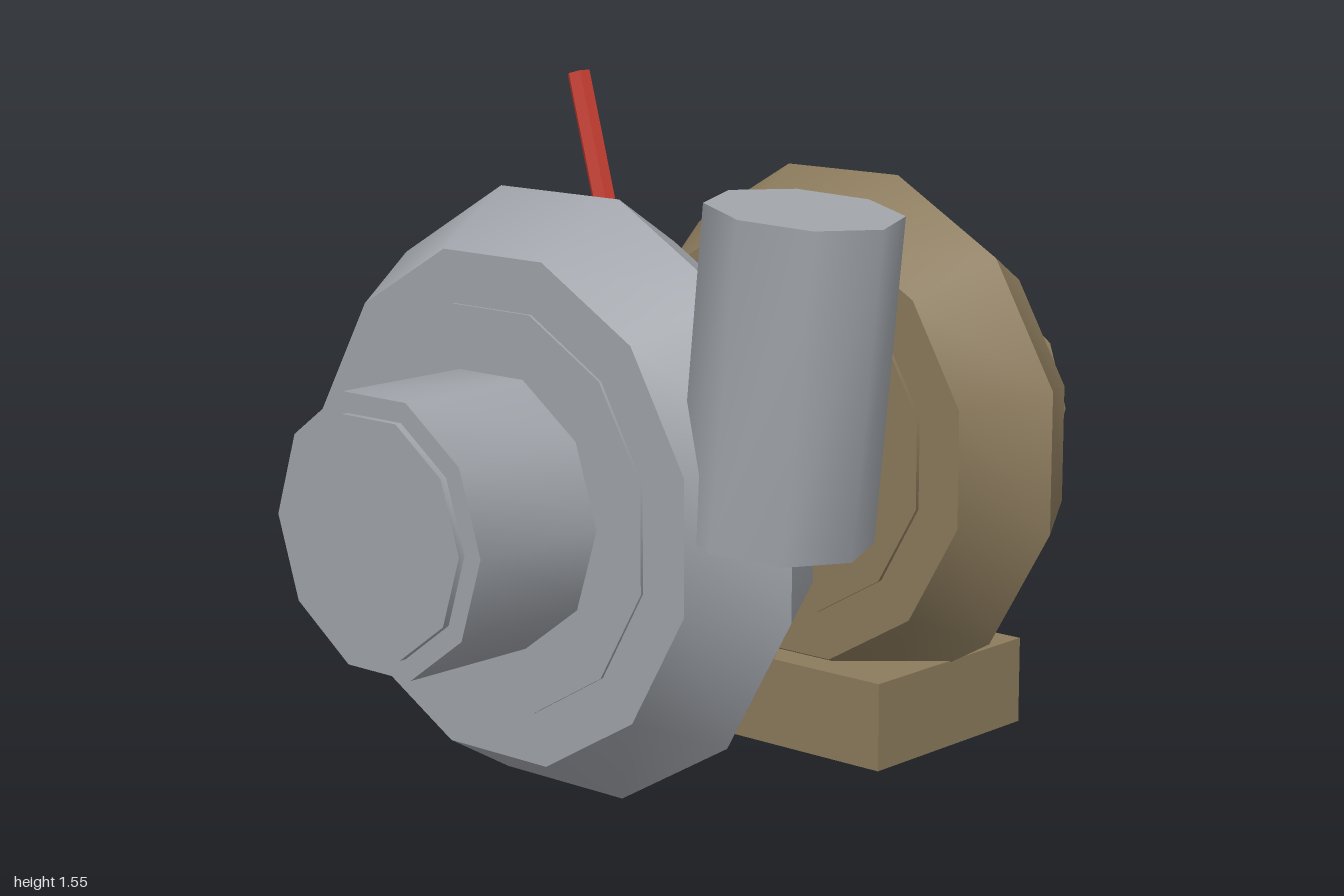
import * as THREE from 'three';
import { toCreasedNormals } from 'three/addons/utils/BufferGeometryUtils.js';

const material = (name, color) => {
  const m = new THREE.MeshStandardMaterial({ color });
  m.name = name;
  return m;
};

const AXIS_Y = 0.693, AXIS_Z = 0.016; // shaft line, running along x
const CREASE = 0.9;

export function createModel() {
  const silver = material('silver', 0xa0a4aa);
  const bronze = material('bronze', 0x8b7a5c);
  const slate = material('slate', 0x5a5e6a);
  const red = material('red', 0xc23d31);
  const model = new THREE.Group();
  model.name = 'turbocharger';

  const add = (parent, name, geometry, mat) => {
    const mesh = new THREE.Mesh(toCreasedNormals(geometry, CREASE), mat);
    mesh.name = name;
    parent.add(mesh);
    return mesh;
  };

  // Cylinder on the shaft line between two x positions
  const shaftCylinder = (parent, name, r, x0, x1, sides, mat, turn = 0) => {
    const g = new THREE.CylinderGeometry(r, r, x1 - x0, sides, 1, false, turn);
    g.rotateZ(Math.PI / 2);
    g.translate((x0 + x1) / 2, AXIS_Y, AXIS_Z);
    return add(parent, name, g, mat);
  };

  // Straight rod between two points, with one corner kept horizontal
  const rod = (name, r, sides, from, to, mat) => {
    const a = new THREE.Vector3(...from), b = new THREE.Vector3(...to);
    const dir = b.clone().sub(a), length = dir.length();
    dir.normalize();
    const side = new THREE.Vector3(0, 1, 0).cross(dir).normalize();
    const basis = new THREE.Matrix4().makeBasis(dir.clone().cross(side), dir, side);
    const g = new THREE.CylinderGeometry(r, r, length, sides);
    g.applyMatrix4(basis);
    const mid = a.add(b).multiplyScalar(0.5);
    g.translate(mid.x, mid.y, mid.z);
    return add(model, name, g, mat);
  };

  // Ring housing with a core disc closing its middle
  const housing = (name, x, ringRadius, tube, mat) => {
    const group = new THREE.Group();
    group.name = name;
    model.add(group);
    const ring = new THREE.TorusGeometry(ringRadius, tube, 6, 12);
    ring.rotateZ(Math.PI / 12);
    ring.rotateY(Math.PI / 2);
    ring.translate(x, AXIS_Y, AXIS_Z);
    add(group, name + 'Ring', ring, mat);
    shaftCylinder(group, name + 'Core', ringRadius, x - 0.202, x + 0.202, 12, mat, Math.PI / 12);
    return group;
  };

  // Compressor side
  const compressor = housing('compressor', -0.462, 0.428, 0.226, silver);
  shaftCylinder(compressor, 'inletPipe', 0.294, -0.985, -0.6, 10, silver);
  shaftCylinder(compressor, 'inletLip', 0.25, -1, -0.98, 10, silver);
  const outlet = add(compressor, 'compressorOutlet', new THREE.CylinderGeometry(0.196, 0.196, 0.66, 8), silver);
  outlet.position.set(-0.462, 1.021, 0.64);
  outlet.rotation.x = 0.106;

  // Centre bearing housing
  shaftCylinder(model, 'bearingHousing', 0.26, -0.235, 0.225, 8, slate, Math.PI / 8);

  // Turbine side
  const turbine = housing('turbine', 0.452, 0.394, 0.222, bronze);
  shaftCylinder(turbine, 'exhaustPipe', 0.257, 0.6, 0.975, 10, bronze);
  const base = add(model, 'mountingFoot', new THREE.BoxGeometry(0.52, 0.2, 0.655), bronze);
  base.position.set(0.452, 0.1, 0.018);

  // Wastegate arm, canister and cap
  rod('wastegateArm', 0.118, 6, [0.47, 0.233, -0.05], [0.725, 0.233, -0.55], bronze);
  const canister = add(model, 'wastegateCanister', new THREE.CylinderGeometry(0.153, 0.153, 0.35, 10), bronze);
  canister.position.set(0.78, 0.275, -0.64);
  const cap = add(model, 'wastegateCap', new THREE.CylinderGeometry(0.228, 0.228, 0.225, 10), red);
  cap.position.set(0.78, 0.543, -0.641);

  // Oil feed line
  rod('oilLine', 0.026, 6, [-0.232, 0.95, 0.012], [-0.202, 1.54, -0.178], red);

  return model;
}
